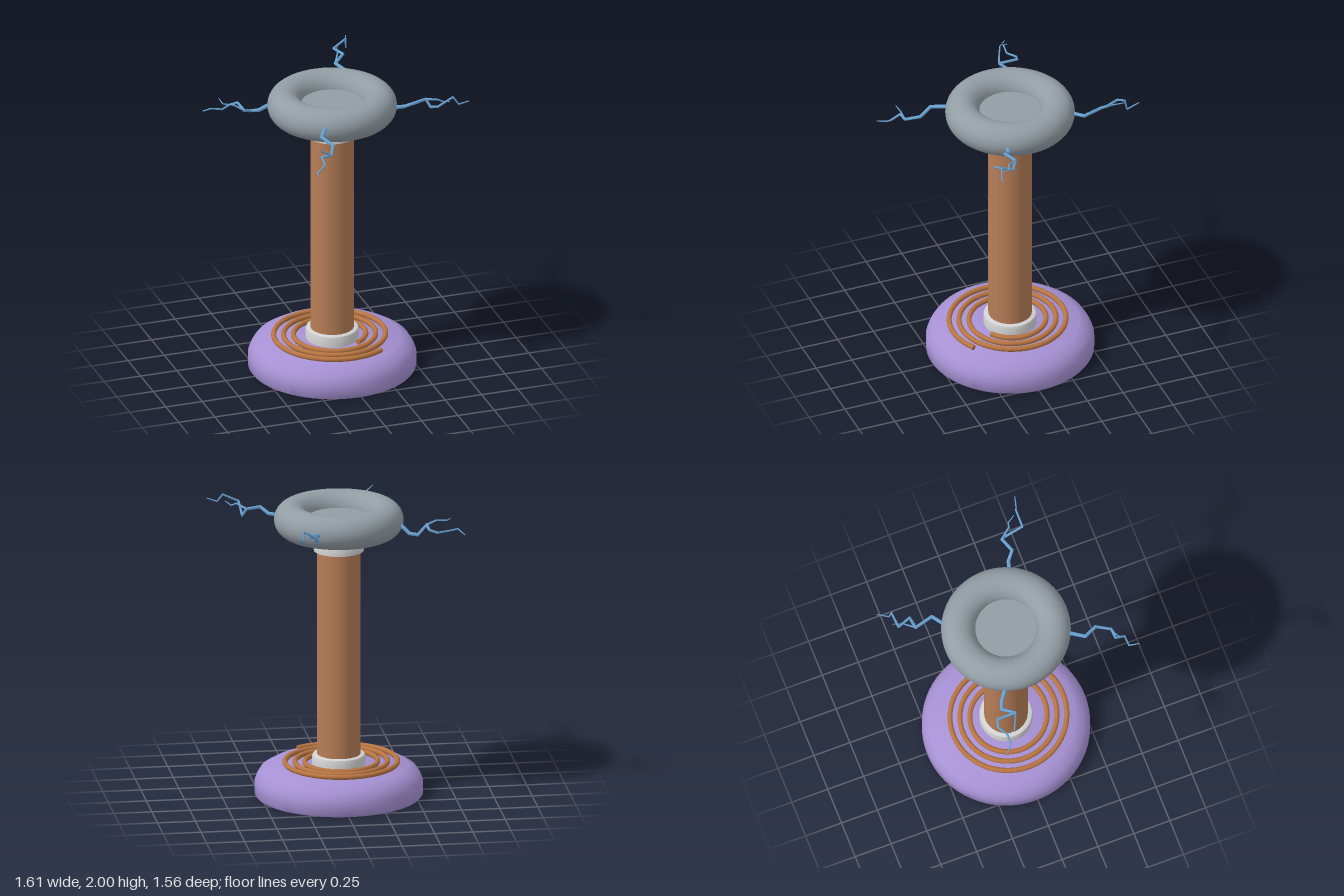
import * as THREE from 'three';
import { mergeGeometries, toCreasedNormals } from 'three/addons/utils/BufferGeometryUtils.js';

const material = (name, color) => {
  const m = new THREE.MeshStandardMaterial({ color });
  m.name = name;
  return m;
};

export function createModel() {
  const purple = material('purple base', 0xa691d4);
  const copper = material('copper winding', 0xb67d57);
  const coilCopper = material('copper tube', 0xb87542);
  const steel = material('grey metal', 0x929da4);
  const white = material('pale insulator', 0xd2d2d2);
  const blue = material('electric blue', 0x6aa3d5);

  const model = new THREE.Group();
  model.name = 'resonantCoil';
  const tower = new THREE.Group();
  tower.name = 'tower';
  tower.position.set(-0.013, 0, -0.013);
  model.add(tower);

  const add = (name, geometry, mat, y = 0, parent = tower) => {
    const mesh = new THREE.Mesh(geometry, mat);
    mesh.name = name;
    mesh.position.y = y;
    parent.add(mesh);
    return mesh;
  };
  const lathe = (points) => toCreasedNormals(
    new THREE.LatheGeometry(points.map(([r, y]) => new THREE.Vector2(r, y)), 64), 0.75);
  // Round disc with a softened upper edge
  const collar = (r, y0, y1, b) => lathe([[0, y0], [r, y0], [r, y1 - b],
    [r - b * 0.3, y1 - b * 0.3], [r - b, y1], [0, y1]]);

  // Base with rounded shoulder
  add('base', lathe([[0, 0], [0.54, 0], [0.548, 0.01], [0.548, 0.09], [0.535, 0.125],
    [0.512, 0.163], [0.45, 0.2], [0, 0.2]]), purple);

  // Flat primary spiral, widening over three turns
  const spiral = [];
  const turns = 3, steps = 72;
  for (let i = 0; i <= steps; i++) {
    const t = i / steps;
    const a = 1.0 - t * turns * Math.PI * 2;
    const r = 0.212 + 0.194 * t;
    spiral.push(new THREE.Vector3(Math.cos(a) * r, 0.219, Math.sin(a) * r));
  }
  const spiralPath = new THREE.CatmullRomCurve3(spiral);
  add('primaryCoil', new THREE.TubeGeometry(spiralPath, 240, 0.017, 10), coilCopper);
  [0, 1].forEach((t) => {
    const cap = add('primaryCoilEnd', new THREE.CircleGeometry(0.017, 10), coilCopper);
    cap.position.copy(spiralPath.getPoint(t));
    const out = spiralPath.getTangent(t).multiplyScalar(t ? 1 : -1);
    cap.quaternion.setFromUnitVectors(new THREE.Vector3(0, 0, 1), out);
  });

  // Column, its two collars and the neck
  add('lowerCollar', collar(0.173, 0.195, 0.275, 0.015), white);
  add('secondaryColumn', new THREE.CylinderGeometry(0.142, 0.142, 1.4, 48), copper, 0.965);
  add('upperCollar', collar(0.163, 1.655, 1.72, 0.015), white);
  add('neck', new THREE.CylinderGeometry(0.039, 0.039, 0.14, 24), steel, 1.785);

  // Ring terminal with its centre plate
  add('ringTerminal', new THREE.TorusGeometry(0.31, 0.112, 32, 72).rotateX(Math.PI / 2), steel, 1.863);
  add('centrePlate', new THREE.CylinderGeometry(0.215, 0.215, 0.04, 48), steel, 1.86);

  // Jagged discharge: tapered segments joined end to end
  const bolt = (points, r0, r1) => {
    const up = new THREE.Vector3(0, 1, 0);
    const p = points.map((q) => new THREE.Vector3(...q));
    const parts = [];
    for (let i = 0; i < p.length - 1; i++) {
      const radius = (k) => r0 + (r1 - r0) * k / (p.length - 1);
      const dir = p[i + 1].clone().sub(p[i]);
      const len = dir.length();
      const g = new THREE.CylinderGeometry(radius(i + 1), radius(i), len + radius(i + 1) * 0.6, 6);
      g.applyQuaternion(new THREE.Quaternion().setFromUnitVectors(up, dir.normalize()));
      const mid = p[i].clone().add(p[i + 1]).multiplyScalar(0.5);
      parts.push(g.translate(mid.x, mid.y, mid.z));
    }
    return mergeGeometries(parts);
  };

  const discharges = [
    { name: 'leftDischarge',
      main: [[0.36, 1.86, 0.155], [0.42, 1.865, 0.17], [0.47, 1.9, 0.215], [0.565, 1.9, 0.18],
        [0.59, 1.85, 0.205], [0.595, 1.91, 0.335], [0.7, 1.96, 0.33], [0.735, 1.91, 0.345], [0.8, 1.93, 0.36]],
      branch: [[0.565, 1.9, 0.18], [0.62, 1.92, 0.25], [0.655, 1.905, 0.26], [0.685, 1.92, 0.31]] },
    { name: 'frontDischarge',
      main: [[-0.187, 1.885, 0.35], [-0.247, 1.87, 0.45], [-0.2, 1.845, 0.54], [-0.243, 1.82, 0.632],
        [-0.31, 1.82, 0.637], [-0.31, 1.79, 0.7], [-0.365, 1.745, 0.71], [-0.38, 1.755, 0.775]],
      branch: [[-0.243, 1.82, 0.632], [-0.29, 1.85, 0.64], [-0.335, 1.88, 0.66]] },
    { name: 'rightDischarge',
      main: [[-0.39, 1.86, -0.16], [-0.45, 1.805, -0.21], [-0.5, 1.8, -0.23], [-0.57, 1.845, -0.16],
        [-0.57, 1.845, -0.285], [-0.62, 1.83, -0.3], [-0.685, 1.825, -0.26], [-0.76, 1.84, -0.265],
        [-0.8, 1.81, -0.305]],
      branch: [[-0.57, 1.845, -0.16], [-0.63, 1.88, -0.185], [-0.695, 1.885, -0.215], [-0.71, 1.91, -0.255]] },
    { name: 'backDischarge',
      main: [[0.165, 1.87, -0.38], [0.235, 1.88, -0.435], [0.2, 1.885, -0.56], [0.26, 1.935, -0.58],
        [0.225, 1.94, -0.67], [0.315, 1.99, -0.685], [0.32, 1.92, -0.7], [0.345, 1.97, -0.775]],
      branch: [[0.2, 1.885, -0.56], [0.24, 1.92, -0.63], [0.26, 1.93, -0.7]] },
  ];
  for (const { name, main, branch } of discharges) {
    const group = new THREE.Group();
    group.name = name;
    add('mainBolt', bolt(main, 0.014, 0.004), blue, 0, group);
    add('branchBolt', bolt(branch, 0.008, 0.003), blue, 0, group);
    model.add(group);
  }
  return model;
}
